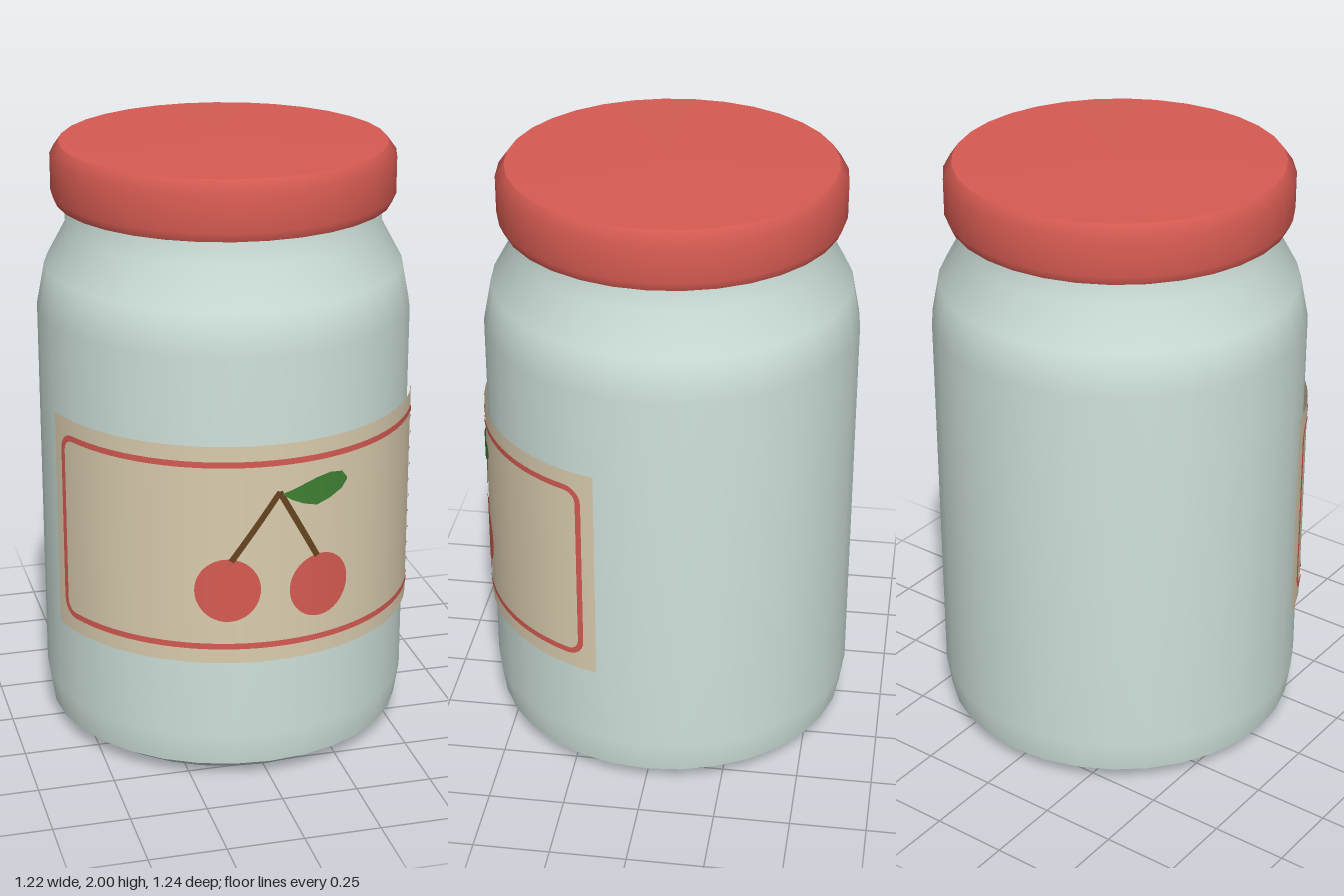
import * as THREE from 'three';

const paint = (name, color, side = THREE.FrontSide) => {
  const m = new THREE.MeshStandardMaterial({ color, side });
  m.name = name;
  return m;
};

// Surface of revolution with 32 sides; profile runs from bottom to top.
function turned(name, profile, material) {
  const pts = profile.map(([r, y]) => new THREE.Vector2(r, y));
  const mesh = new THREE.Mesh(new THREE.LatheGeometry(pts, 32), material);
  mesh.name = name;
  return mesh;
}

// Ribbon between two rows of [arc length, height] points, wrapped round the jar.
// Row a lies to the right of the direction of travel, row b to the left.
function wrapped(name, a, b, radius, material) {
  const position = [], normal = [], index = [];
  a.forEach((p, i) => {
    for (const [u, y] of [p, b[i]]) {
      const s = Math.sin(u / radius), c = Math.cos(u / radius);
      position.push(s * radius, y, c * radius);
      normal.push(s, 0, c);
    }
    const k = i * 2;
    if (i < a.length - 1) index.push(k, k + 2, k + 1, k + 1, k + 2, k + 3);
  });
  const g = new THREE.BufferGeometry();
  g.setAttribute('position', new THREE.Float32BufferAttribute(position, 3));
  g.setAttribute('normal', new THREE.Float32BufferAttribute(normal, 3));
  g.setIndex(index);
  const mesh = new THREE.Mesh(g, material);
  mesh.name = name;
  return mesh;
}

const steps = (n, f) => Array.from({ length: n + 1 }, (_, i) => f(i / n));

// Closed counterclockwise outline of a rounded rectangle.
function roundedOutline(halfWidth, bottom, top, radius) {
  const w = halfWidth - radius, lo = bottom + radius, hi = top - radius;
  const corner = (x, y, start) => steps(6, t => {
    const q = start + t * Math.PI / 2;
    return [x + radius * Math.cos(q), y + radius * Math.sin(q)];
  });
  const across = (y, d) => steps(32, t => [d * w * (2 * t - 1), y]);
  const points = [
    ...across(bottom, 1), ...corner(w, lo, -Math.PI / 2),
    ...corner(w, hi, 0), ...across(top, -1),
    ...corner(-w, hi, Math.PI / 2), ...corner(-w, lo, Math.PI),
  ];
  return [...points, points[0]];
}

export function createModel() {
  const model = new THREE.Group();
  model.name = 'cherryJar';
  model.position.z = -0.006;

  const glass = paint('paleGlass', 0xcfe1db);
  const red = paint('cherryRed', 0xd65b52, THREE.DoubleSide);
  const paper = paint('creamPaper', 0xdaccae, THREE.DoubleSide);
  const brown = paint('stalkBrown', 0x664420, THREE.DoubleSide);
  const green = paint('leafGreen', 0x3f8033, THREE.DoubleSide);

  // Jar
  model.add(
    turned('jarBase', [[0, 0], [0.52, 0], [0.595, 0.05]], glass),
    turned('jarBody', [[0.595, 0.05], [0.612, 0.16], [0.612, 1.45], [0.585, 1.59],
      [0.514, 1.72], [0.514, 1.85]], glass),
  );

  // Lid
  model.add(
    turned('lidUnderside', [[0.5, 1.802], [0.545, 1.8]], red),
    turned('lidSide', [[0.545, 1.8], [0.558, 1.83], [0.558, 1.95], [0.529, 1.99]], red),
    turned('lidTop', [[0.529, 1.99], [0, 2]], red),
  );

  // Label
  const labelRadius = 0.623, printRadius = 0.626;
  const half = labelRadius * THREE.MathUtils.degToRad(74.7);
  const edge = y => steps(28, t => [half * (2 * t - 1), y]);
  model.add(wrapped('label', edge(0.43), edge(1.17), labelRadius, paper));

  // Printed border
  model.add(wrapped('labelBorder', roundedOutline(0.772, 0.48, 1.12, 0.06),
    roundedOutline(0.752, 0.5, 1.1, 0.04), printRadius, red));

  // Cherries
  for (const [name, x, y] of [['rightCherry', -0.146, 0.685], ['leftCherry', 0.161, 0.673]]) {
    const arc = sign => steps(24, t => {
      const q = Math.PI * t;
      return [x - 0.106 * Math.cos(q), y + sign * 0.108 * Math.sin(q)];
    });
    model.add(wrapped(name, arc(-1), arc(1), printRadius, red));
  }

  // Stalks
  for (const [name, x0, y0, x1, y1] of [
    ['rightStalk', 0.02, 1.012, -0.135, 0.785], ['leftStalk', 0.018, 1.012, 0.15, 0.775],
  ]) {
    const length = Math.hypot(x1 - x0, y1 - y0);
    const nx = (y1 - y0) / length * 0.01, ny = -(x1 - x0) / length * 0.01;
    const side = d => steps(8, t => [x0 + (x1 - x0) * t + d * nx, y0 + (y1 - y0) * t + d * ny]);
    model.add(wrapped(name, side(1), side(-1), printRadius + 0.0005, brown));
  }

  // Leaf, between its lower and upper edges
  const lower = [[0.025, 1.003], [0.06, 0.98], [0.1, 0.962], [0.146, 0.95], [0.195, 0.965],
    [0.24, 0.987], [0.261, 1.012]];
  const upper = [[0.025, 1.003], [0.06, 1.014], [0.1, 1.028], [0.146, 1.043], [0.195, 1.051],
    [0.24, 1.045], [0.261, 1.02]];
  model.add(wrapped('leaf', lower, upper, printRadius + 0.001, green));

  return model;
}
